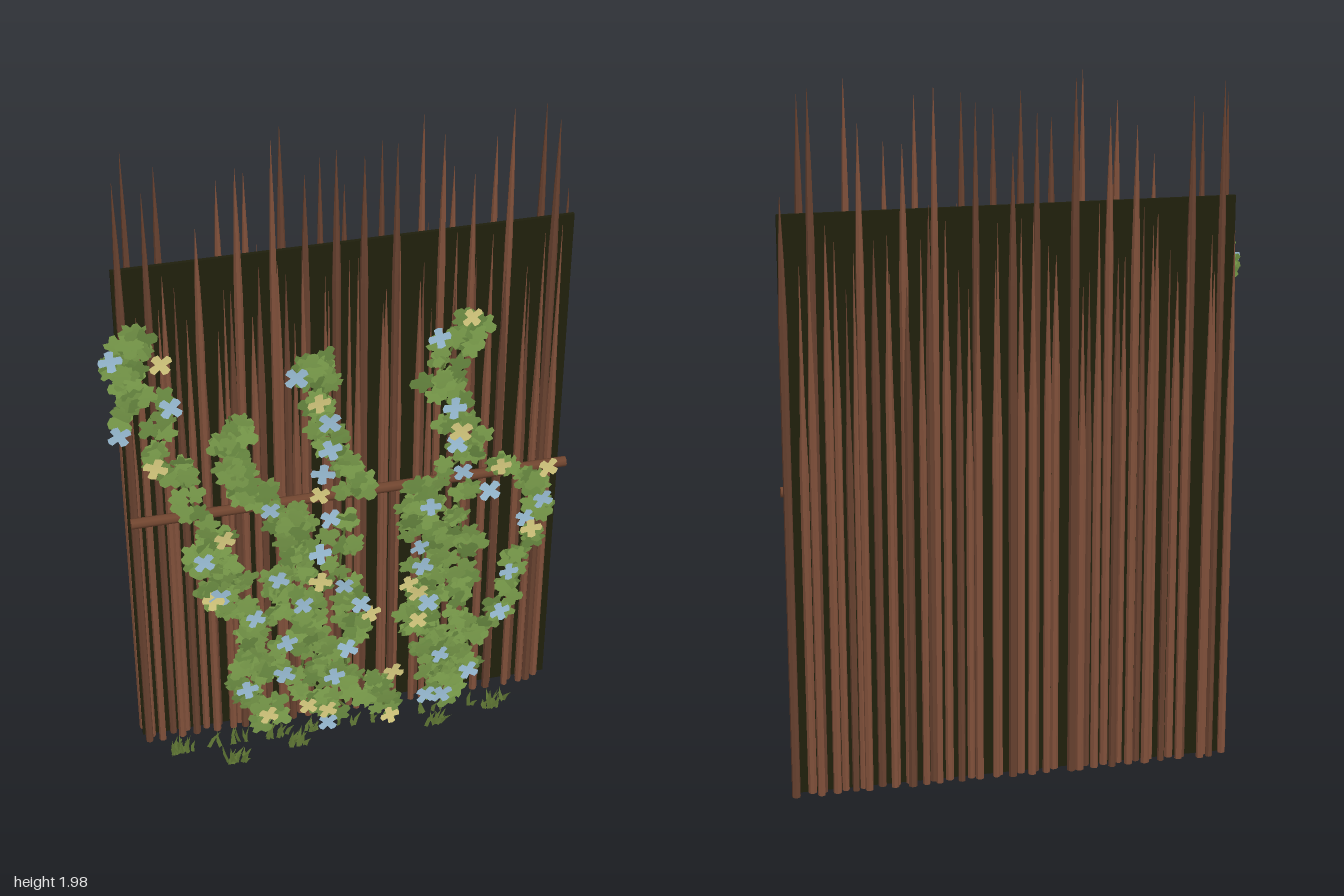
import * as THREE from 'three';
import { mergeGeometries } from 'three/addons/utils/BufferGeometryUtils.js';

let seed = 11;
const rand = (a = 0, b = 1) => {
  seed = (seed * 16807) % 2147483647;
  return a + (b - a) * (seed / 2147483647);
};

const colour = (name, hex, extra = {}) =>
  Object.assign(new THREE.MeshStandardMaterial({ color: hex, ...extra }), { name });
const two = { side: THREE.DoubleSide };
const mats = {
  reed: colour('reed brown', 0x80503a),
  darkReed: colour('dark reed brown', 0x67412f),
  rail: colour('rail brown', 0x70452f),
  panel: colour('dark olive', 0x1f1f0c),
  leaf: colour('leaf green', 0x789a4a, two),
  darkLeaf: colour('deep leaf green', 0x698a41, two),
  grass: colour('grass green', 0x5f7634, two),
  blue: colour('pale blue', 0x9cc0d8, two),
  yellow: colour('soft yellow', 0xd9cd80, two),
};

// Places a geometry with a rotation, position and scale
function place(geo, pos, rot = [0, 0, 0], s = 1) {
  const q = new THREE.Quaternion().setFromEuler(new THREE.Euler(...rot));
  return geo.clone().applyMatrix4(new THREE.Matrix4().compose(
    new THREE.Vector3(...pos), q, new THREE.Vector3(s, s, s)));
}

// Faceted cane that stays thick for most of its height, then narrows to a spike
function cane(r, h) {
  const start = h > 1.64 ? 0.8 : rand(0.62, 0.78);
  const pts = [[0, 0], [r, 0], [r, h * start], [r * 0.65, h * (start + 0.1)], [0.0005, h]];
  const geo = new THREE.LatheGeometry(pts.map(p => new THREE.Vector2(...p)), 7).toNonIndexed();
  geo.computeVertexNormals();
  return geo;
}

// Flat shape drawn from a ring of radii, slightly cupped
function rosette(radii, turns, cup) {
  const shape = new THREE.Shape(), steps = radii.length * turns;
  for (let i = 0; i < steps; i++) {
    const a = (i / steps) * Math.PI * 2, r = radii[i % radii.length];
    shape[i ? 'lineTo' : 'moveTo'](Math.cos(a) * r, Math.sin(a) * r);
  }
  const geo = new THREE.ShapeGeometry(shape);
  const p = geo.attributes.position;
  for (let i = 0; i < p.count; i++) p.setZ(i, cup * Math.hypot(p.getX(i), p.getY(i)));
  geo.computeVertexNormals();
  return geo;
}

export function createModel() {
  const model = new THREE.Group();
  const add = (name, geos, mat) => {
    const mesh = new THREE.Mesh(Array.isArray(geos) ? mergeGeometries(geos) : geos, mat);
    mesh.name = name;
    model.add(mesh);
    return mesh;
  };

  // Backing panel
  add('backingPanel', new THREE.BoxGeometry(1.25, 1.63, 0.01), mats.panel).position.set(0.025, 0.82, -0.073);

  // Cross rail
  const rail = add('crossRail', new THREE.CylinderGeometry(0.015, 0.015, 1.25, 8), mats.rail);
  rail.rotation.z = Math.PI / 2;
  rail.position.set(0.025, 0.86, -0.002);

  // Four rows of canes, two on each side of the panel
  const rows = [-0.036, -0.096, -0.056, -0.114], canes = [];
  rows.forEach((z, row) => {
    for (let i = 0; i < 25; i++) canes.push({
      row, x: -0.59 + (i + (row > 1 ? 0.5 : 0.1)) * 0.0495 + rand(-0.011, 0.011),
      z: z + rand(-0.004, 0.004), h: rand(1.4, 1.64),
    });
  });
  // Tall spikes: x, height
  const spikes = [[-0.585, 1.9], [-0.55, 1.94], [-0.51, 1.85], [-0.47, 1.9], [-0.38, 1.74], [-0.31, 1.83],
    [-0.27, 1.89], [-0.24, 1.85], [-0.18, 1.97], [-0.14, 1.96], [-0.09, 1.85], [-0.04, 1.87], [-0.01, 1.92],
    [0.03, 1.77], [0.07, 1.88], [0.125, 1.9], [0.15, 1.92], [0.24, 1.95], [0.28, 1.92], [0.32, 1.8],
    [0.36, 1.8], [0.44, 1.86], [0.465, 1.97], [0.565, 1.95], [0.585, 1.93], [0.645, 1.68]];
  spikes.forEach(([x, h], i) => {
    const inRow = canes.filter(c => c.row === (i * 3) % 4 && c.h < 1.65);
    const near = inRow.reduce((a, b) => (Math.abs(a.x - x) < Math.abs(b.x - x) ? a : b));
    Object.assign(near, { x, h });
  });
  const light = [], dark = [];
  canes.forEach((c, i) => (i % 3 ? light : dark).push(
    place(cane(rand(0.0095, 0.0125), c.h), [Math.min(c.x, 0.645), 0.01, c.z], [0, rand(0, 6), 0])));
  add('canes', light, mats.reed);
  add('darkCanes', dark, mats.darkReed);

  // Climbing vine: each run is a path with a spread and a number of leaves
  const runs = [
    [0.04, 34, [[-0.55, 1.49], [-0.6, 1.42], [-0.57, 1.33], [-0.59, 1.25]]],
    [0.035, 22, [[-0.5, 1.28], [-0.52, 1.12], [-0.46, 1.02], [-0.42, 0.88]]],
    [0.05, 34, [[-0.32, 1.2], [-0.32, 1.1], [-0.3, 0.99], [-0.23, 0.88]]],
    [0.045, 46, [[-0.1, 1.32], [-0.05, 1.3], [-0.06, 1.15], [-0.01, 1.0], [0.02, 0.88]]],
    [0.05, 46, [[0.35, 1.43], [0.3, 1.34], [0.26, 1.22], [0.31, 1.1], [0.35, 0.98], [0.24, 0.88]]],
    [0.03, 36, [[0.4, 0.92], [0.55, 0.85], [0.55, 0.7], [0.5, 0.54], [0.46, 0.4], [0.39, 0.28]]],
    [0.065, 90, [[-0.38, 0.82], [-0.38, 0.68], [-0.32, 0.58], [-0.25, 0.42], [-0.28, 0.25], [-0.2, 0.08]]],
    [0.07, 100, [[-0.22, 0.87], [-0.12, 0.75], [-0.17, 0.58], [-0.1, 0.42], [-0.13, 0.25], [0.0, 0.08]]],
    [0.045, 46, [[0.0, 0.8], [-0.02, 0.55], [0.01, 0.4], [0.0, 0.25], [0.08, 0.15], [0.12, 0.06]]],
    [0.06, 100, [[0.22, 0.88], [0.23, 0.68], [0.22, 0.5], [0.22, 0.36], [0.28, 0.22], [0.29, 0.08]]],
    [0.045, 38, [[0.32, 0.85], [0.34, 0.66], [0.34, 0.5], [0.36, 0.35], [0.38, 0.18]]],
  ];
  const leafShape = rosette([1, 0.93, 0.58, 0.9, 0.86, 0.55, 0.8, 0.62, 0.35, 0.62, 0.8, 0.55, 0.86, 0.9, 0.58, 0.93], 1, -0.08);
  const leaves = [], deepLeaves = [], stems = [];
  for (const [spread, count, path] of runs) {
    const curve = new THREE.CatmullRomCurve3(path.map(([x, y]) => new THREE.Vector3(x, y, 0.03)));
    stems.push(new THREE.TubeGeometry(curve, 24, 0.004, 4));
    for (let i = 0; i < count; i++) {
      const p = curve.getPoint((i + 0.5) / count), a = rand(0, 6.28), d = spread * Math.sqrt(rand());
      (i % 4 ? leaves : deepLeaves).push(place(leafShape,
        [p.x + Math.cos(a) * d, Math.max(0.045, p.y + Math.sin(a) * d), rand(0.034, 0.046)],
        [rand(-0.28, 0.22), rand(-0.25, 0.25), rand(0, 6.28)], rand(0.034, 0.046)));
    }
  }
  add('vineStems', stems, mats.grass);
  add('leaves', leaves, mats.leaf);
  add('deepLeaves', deepLeaves, mats.darkLeaf);

  // Four-petalled flowers, positions in hundredths
  const flowerShape = rosette([1, 0.95, 0.45, 0.95], 4, 0.06);
  const flowers = {
    blue: [[-63, 144], [-62, 120], [-48, 127], [-14, 131], [-5, 115], [25, 138], [30, 114], [-5, 106], [-7, 98],
      [-22, 88], [-5, 82], [-41, 73], [24, 81], [33, 92], [31, 102], [-8, 70], [21, 67], [41, 84], [52, 72],
      [-37, 60], [-20, 63], [-13, 52], [-1, 57], [4, 49], [22, 60], [48, 53], [24, 46], [-27, 50], [46, 38],
      [-18, 39], [0, 33], [-19, 27], [-30, 23], [-4, 23], [28, 25], [24, 10], [29, 9], [37, 17], [-6, 5], [57, 78]],
    yellow: [[-50, 141], [-53, 108], [-8, 122], [34, 143], [32, 106], [44, 92], [58, 89], [-8, 91], [-35, 80],
      [-39, 59], [-8, 60], [54, 68], [18, 54], [21, 50], [7, 45], [21, 40], [-24, 12], [-12, 13], [-6, 10],
      [13, 4], [14, 21]],
  };
  for (const [name, spots] of Object.entries(flowers)) {
    add(name + 'Flowers', spots.map(([x, y]) => place(flowerShape, [x / 100, y / 100, rand(0.051, 0.056)],
      [rand(-0.15, 0.1), rand(-0.15, 0.15), rand(0, 1.5)], rand(0.03, 0.036))), mats[name]);
  }

  // Grass blades: tufts in front and a thin line along the foot of the fence
  const blade = new THREE.ShapeGeometry(new THREE.Shape([[-0.006, 0], [0.006, 0], [0.007, 0.5], [0.012, 1], [-0.004, 0.5]]
    .map(([x, y]) => new THREE.Vector2(x, y))));
  const grass = [];
  const tuft = (x, z, n, w) => {
    for (let i = 0; i < n; i++) {
      const g = blade.clone().scale(1, rand(0.03, 0.07), 1);
      grass.push(place(g, [x + rand(-w, w), 0.006, z + rand(-0.006, 0.006)],
        [rand(-0.3, 0.1), rand(-0.8, 0.8), rand(-0.5, 0.5)]));
    }
  };
  [[-0.35, 0.112], [-0.16, 0.086], [0.26, 0.09], [0.45, 0.06], [-0.5, 0.035]].forEach(([x, z]) => tuft(x, z, 13, 0.028));
  tuft(0, 0.035, 36, 0.5);
  add('grass', grass, mats.grass);

  return model;
}
